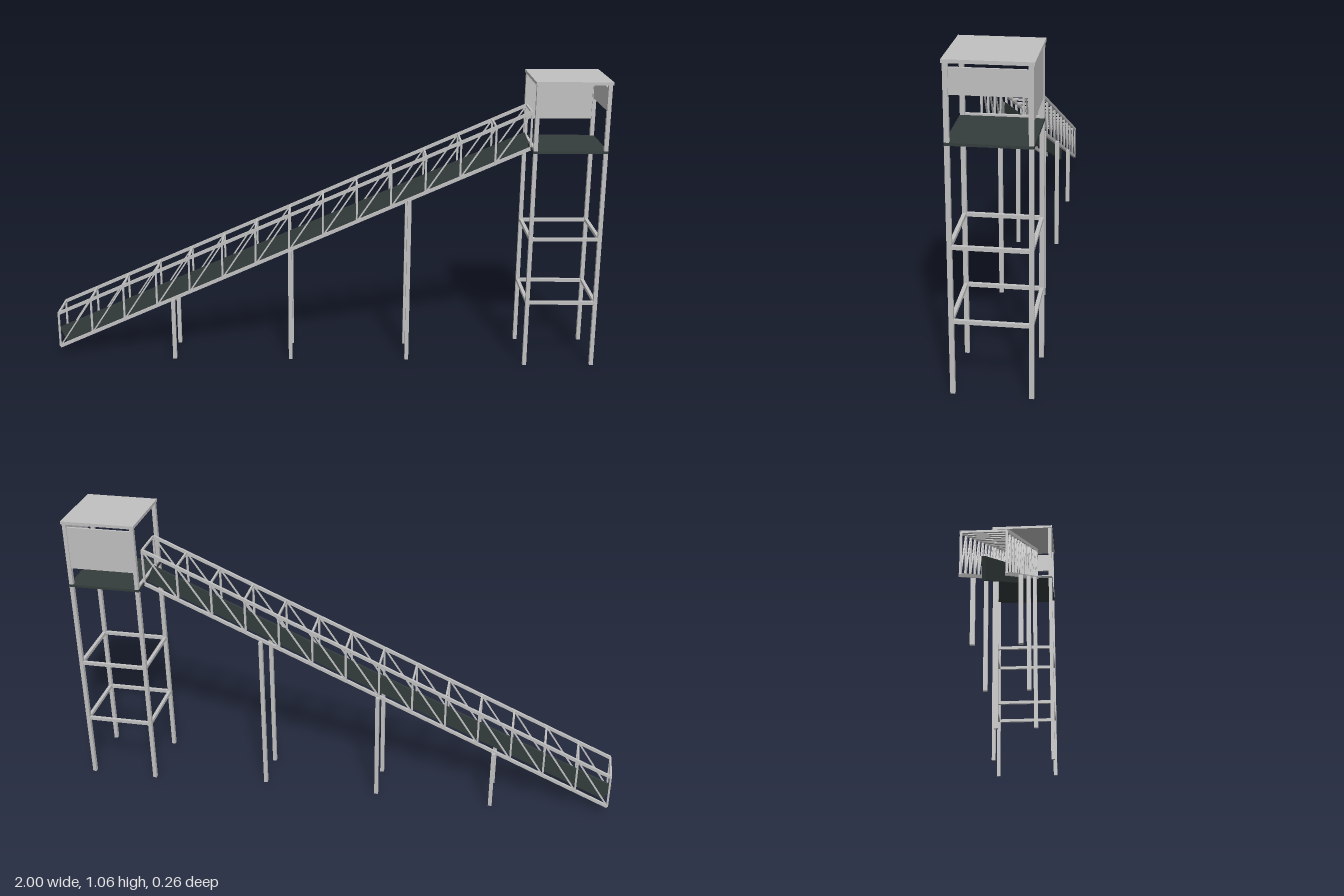
import * as THREE from 'three';

export function createModel() {
  const model = new THREE.Group();
  model.name = 'conveyorTower';
  const steel = new THREE.MeshStandardMaterial({ color: 0xc0c0c0 });
  steel.name = 'light steel';
  const rubber = new THREE.MeshStandardMaterial({ color: 0x343c3c });
  rubber.name = 'dark belt';

  const box = (parent, name, size, pos, mat = steel) => {
    const mesh = new THREE.Mesh(new THREE.BoxGeometry(...size), mat);
    mesh.name = name;
    mesh.position.set(...pos);
    parent.add(mesh);
    return mesh;
  };
  // Square bar in the x-y plane between two points
  const bar = (parent, name, a, b, z, h, w, mat = steel) => {
    const dx = b[0] - a[0], dy = b[1] - a[1];
    const mesh = box(parent, name, [Math.hypot(dx, dy), h, w],
      [(a[0] + b[0]) / 2, (a[1] + b[1]) / 2, z], mat);
    mesh.rotation.z = Math.atan2(dy, dx);
    return mesh;
  };

  // Sloping truss gallery
  const truss = new THREE.Group();
  truss.name = 'truss';
  model.add(truss);
  const bays = 14, x0 = -0.985, x1 = 0.735;
  const low = (i) => [x0 + (x1 - x0) * i / bays, 0.041 + 0.765 * i / bays];
  const high = (i) => [low(i)[0], low(i)[1] + 0.131];
  for (const z of [-0.064, 0.064]) {
    bar(truss, 'lowerChord', low(0), low(bays), z, 0.011, 0.01);
    bar(truss, 'upperChord', high(0), high(bays), z, 0.011, 0.01);
    for (let i = 0; i <= bays; i++) {
      bar(truss, 'upright', low(i), high(i), z, 0.007, 0.007);
      if (i < bays) bar(truss, 'diagonal', low(i), high(i + 1), z, 0.005, 0.005);
    }
  }
  for (let i = 0; i <= bays; i++) {
    box(truss, 'crossBar', [0.007, 0.007, 0.128], [...high(i), 0]);
  }

  // Thin upright belt plate along the centre
  bar(model, 'belt', [-0.985, 0.0595], [0.735, 0.819], 0, 0.068, 0.01, rubber);

  // Support legs reaching the lower chord
  for (const [x, h] of [[-0.555, 0.231], [-0.122, 0.424], [0.31, 0.615]]) {
    for (const z of [-0.075, 0.075]) {
      box(model, 'supportLeg', [0.014, h, 0.015], [x, h / 2, z]);
    }
  }

  // Tower
  const tower = new THREE.Group();
  tower.name = 'tower';
  tower.position.x = 0.866;
  model.add(tower);
  const px = 0.123, pz = 0.121;
  for (const sx of [-1, 1]) {
    for (const sz of [-1, 1]) {
      box(tower, 'post', [0.014, 1.048, 0.015], [sx * px, 0.524, sz * pz]);
    }
  }
  // Bracing rings
  for (const y of [0.244, 0.486]) {
    for (const s of [-1, 1]) {
      box(tower, 'ringBar', [2 * px, 0.012, 0.012], [0, y, s * pz]);
      box(tower, 'ringBar', [0.012, 0.012, 2 * pz], [s * px, y, 0]);
    }
  }
  // Platform, entry sill, wall panels and roof
  box(tower, 'platform', [0.262, 0.009, 0.258], [0, 0.8075, 0], rubber);
  box(tower, 'entrySill', [0.01, 0.006, 2 * pz], [-px, 0.815, 0]);
  box(tower, 'backPanel', [0.234, 0.157, 0.008], [0, 0.954, -pz]);
  box(tower, 'sidePanel', [0.008, 0.08, 0.23], [px, 0.993, 0]);
  box(tower, 'roof', [0.266, 0.011, 0.264], [0, 1.0515, 0]);

  return model;
}
